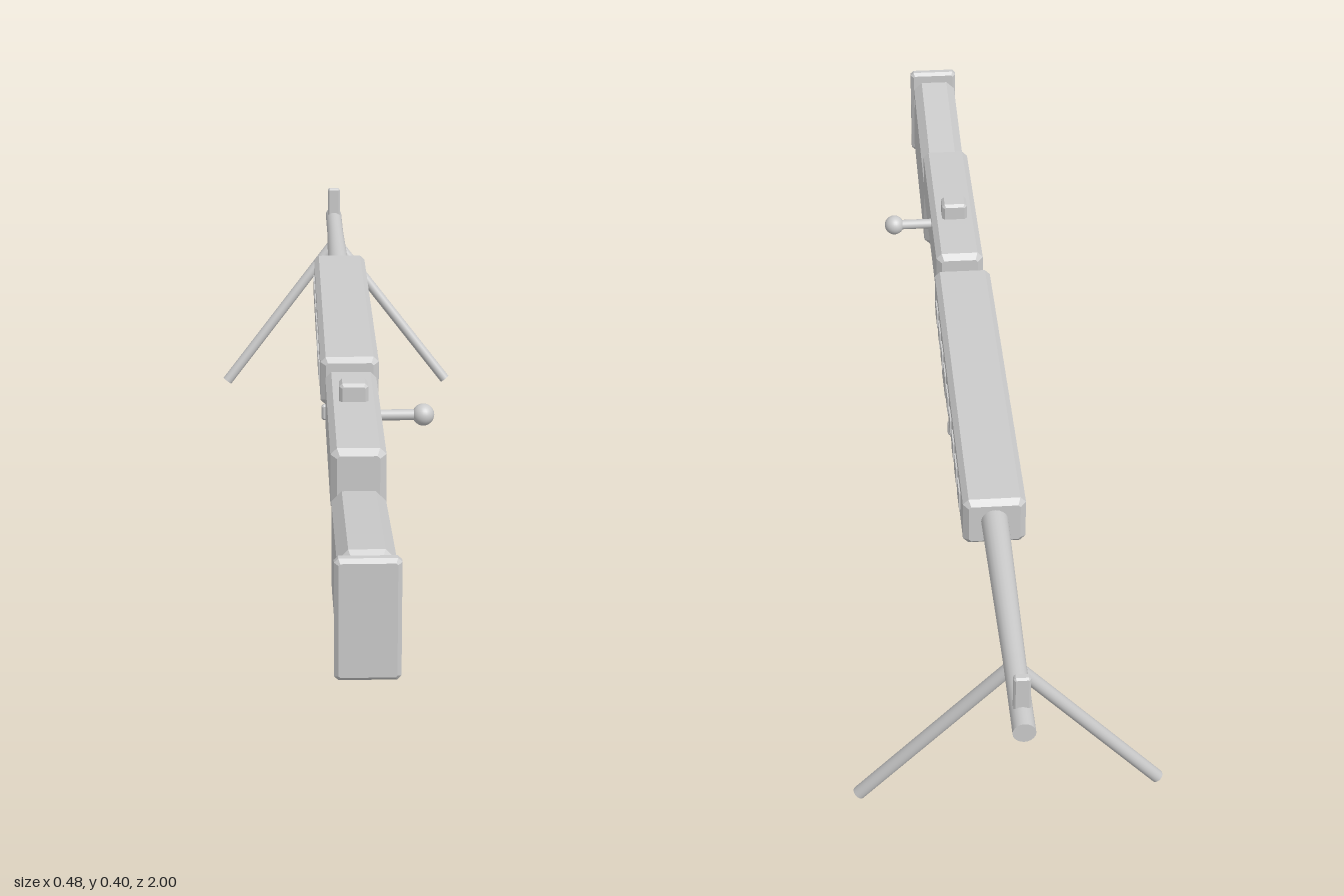
import * as THREE from 'three';

const material = new THREE.MeshStandardMaterial({ color: 0xcccccc });

export function createModel() {
  const group = new THREE.Group();

  const add = (name, geometry, x = 0, y = 0, z = 0) => {
    const mesh = new THREE.Mesh(geometry, material);
    mesh.name = name;
    mesh.position.set(x, y, z);
    group.add(mesh);
    return mesh;
  };

  // Box with every edge chamfered by c
  const chamferBox = (w, h, d, c) => {
    const x = w / 2, y = h / 2;
    const shape = new THREE.Shape([
      [x - c, -y], [x, -y + c], [x, y - c], [x - c, y],
      [-x + c, y], [-x, y - c], [-x, -y + c], [-x + c, -y],
    ].map(([px, py]) => new THREE.Vector2(px, py)));
    const geometry = new THREE.ExtrudeGeometry(shape, {
      depth: d - 2 * c, bevelEnabled: true, bevelSegments: 1,
      bevelThickness: c, bevelSize: c, bevelOffset: -c,
    });
    return geometry.translate(0, 0, -d / 2 + c);
  };

  // Chamfered block given by its y and z limits, centred on x
  const block = (name, w, y0, y1, z0, z1, c) =>
    add(name, chamferBox(w, y1 - y0, z1 - z0, c), 0, (y0 + y1) / 2, (z0 + z1) / 2);

  const plainBlock = (name, w, y0, y1, z0, z1) =>
    add(name, new THREE.BoxGeometry(w, y1 - y0, z1 - z0), 0, (y0 + y1) / 2, (z0 + z1) / 2);

  // Round rod between two points
  const rod = (name, from, to, r0, r1 = r0) => {
    const a = new THREE.Vector3(...from), b = new THREE.Vector3(...to);
    const dir = b.clone().sub(a);
    const mid = a.clone().add(b).multiplyScalar(0.5);
    const mesh = add(name, new THREE.CylinderGeometry(r1, r0, dir.length(), 20), mid.x, mid.y, mid.z);
    mesh.quaternion.setFromUnitVectors(new THREE.Vector3(0, 1, 0), dir.normalize());
    return mesh;
  };

  // Stock, tilted up towards its end plate
  add('stock', chamferBox(0.084, 0.17, 0.365, 0.016), 0, 0.235, 0.793).rotation.x = -0.12;
  block('buttPlate', 0.094, 0.162, 0.345, 0.978, 1, 0.006);

  // Main body
  block('receiver', 0.086, 0.262, 0.365, 0.217, 0.615, 0.01);
  block('lowerForend', 0.068, 0.249, 0.307, -0.18, 0.26, 0.01);
  block('handguard', 0.1, 0.284, 0.37, -0.521, 0.167, 0.009);
  block('magazine', 0.052, 0, 0.27, 0.26, 0.36, 0.009);

  // Shallow slot plates along both sides of the handguard
  for (const side of [-1, 1]) {
    for (let i = 0; i < 9; i++) {
      add('handguardSlot', new THREE.BoxGeometry(0.006, 0.032, 0.042),
        side * 0.0495, 0.328, 0.083 - i * 0.0655);
    }
  }

  // Barrel and sights
  rod('barrel', [0, 0.332, -0.5], [0, 0.332, -0.85], 0.022, 0.017);
  rod('muzzle', [0, 0.332, -0.84], [0, 0.332, -1], 0.017);
  block('frontSight', 0.025, 0.335, 0.402, -0.965, -0.951, 0.003);
  block('rearSight', 0.047, 0.355, 0.395, 0.348, 0.386, 0.005);

  // Side handle
  rod('boltHandle', [0.03, 0.34, 0.378], [0.105, 0.34, 0.378], 0.009);
  add('boltKnob', new THREE.SphereGeometry(0.018, 24, 16), 0.113, 0.34, 0.378);

  // Trigger and its U-shaped guard
  plainBlock('triggerGuardBase', 0.048, 0.181, 0.19, 0.376, 0.484);
  for (const z of [0.376, 0.476]) plainBlock('triggerGuardPost', 0.048, 0.181, 0.226, z, z + 0.008);
  plainBlock('trigger', 0.03, 0.19, 0.227, 0.432, 0.45);

  // Cross bar below the forend
  block('slingBar', 0.088, 0.176, 0.205, -0.081, -0.07, 0.003);

  // Splayed bipod legs
  for (const side of [-1, 1]) {
    rod('bipodLeg', [0, 0.316, -0.84], [side * 0.234, 0.02, -0.79], 0.0105);
  }

  return group;
}
